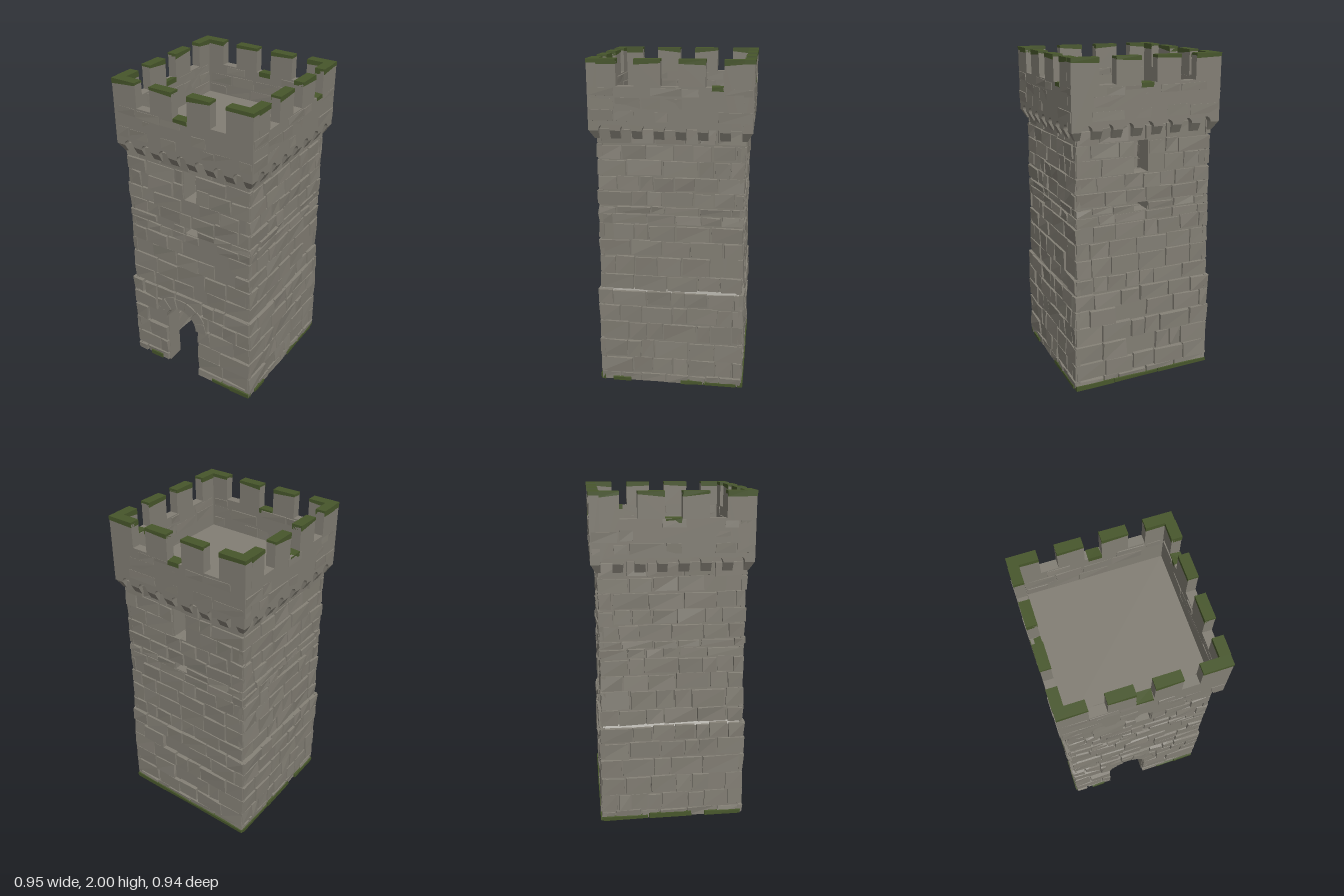
import * as THREE from 'three';
import { mergeGeometries } from 'three/addons/utils/BufferGeometryUtils.js';

let seed = 7;
const rand = () => (seed = (seed * 16807) % 2147483647) / 2147483647;
const vary = (a) => (rand() * 2 - 1) * a;

// Block with an uneven outer (+z) face
function block(x0, x1, y0, y1, z0, z1, edge = 0.004, relief = 0.006) {
  const g = new THREE.BoxGeometry(1, 1, 1).toNonIndexed();
  const jit = [0, 1, 2, 3].map(() => [rand() * edge, rand() * edge, vary(relief)]);
  const p = g.attributes.position;
  for (let i = 0; i < p.count; i++) {
    const r = p.getX(i) > 0, t = p.getY(i) > 0, f = p.getZ(i) > 0;
    const [a, b, c] = f ? jit[(r ? 1 : 0) + (t ? 2 : 0)] : [0, 0, 0];
    p.setXYZ(i, r ? x1 - a : x0 + a, t ? y1 - b : y0 + b, f ? z1 + c : z0);
  }
  g.computeVertexNormals();
  return g;
}

// Courses of irregular bricks; holes are [x0, x1, y0, y1]
function courses(rows, half, face, holes, skip = 0.06, relief = 0.006) {
  const out = [];
  for (let i = 0; i < rows.length - 1; i++) {
    const ya = rows[i], yb = rows[i + 1], mid = (ya + yb) / 2, h = half(mid);
    const cuts = holes.filter((o) => o[2] < yb - 0.01 && o[3] > ya + 0.01).sort((a, b) => a[0] - b[0]);
    let start = -h;
    for (const [c0, c1] of [...cuts, [h, h]]) {
      let x = start;
      while (x < c0 - 0.005) {
        let e = x + 0.08 + rand() * 0.13;
        if (e > c0 - 0.05) e = c0;
        const z = face(mid) + vary(0.003);
        if (rand() > skip) {
          const dy = vary(0.006);
          out.push(block(x + 0.002, e - 0.002, Math.max(0, ya + 0.002 + (i ? dy : 0)), yb - 0.002 + dy, z - 0.03, z, 0.007, relief));
        }
        x = e;
      }
      start = c1;
    }
  }
  return mergeGeometries(out);
}

const rectPath = (x0, x1, y0, y1) =>
  new THREE.Path([[x0, y0], [x1, y0], [x1, y1], [x0, y1]].map((p) => new THREE.Vector2(...p)));
const poly = (pts) => new THREE.Shape(pts.map((p) => new THREE.Vector2(...p)));

export function createModel() {
  const root = new THREE.Group();
  root.name = 'castleTower';
  const stone = new THREE.MeshStandardMaterial({ color: 0x827e74 });
  stone.name = 'stone';
  const moss = new THREE.MeshStandardMaterial({ color: 0x47562b });
  moss.name = 'moss';
  const add = (name, geo, mat = stone, rotY = 0, z = 0) => {
    const m = new THREE.Mesh(geo, mat);
    m.name = name;
    m.rotation.y = rotY;
    m.position.z = z;
    root.add(m);
    return m;
  };
  const extrude = (shape, depth) => new THREE.ExtrudeGeometry(shape, { depth, bevelEnabled: false, curveSegments: 8 });

  // Openings
  const windows = [[-0.022, 0.066, 1.1, 1.15], [-0.022, 0.066, 1.33, 1.52]];
  const DX = -0.067, DR = 0.123, DY = 0.385;
  const doorHoles = [[DX - DR, DX + DR, 0, 0.41], [DX - 0.118, DX + 0.118, 0.41, 0.5]];
  const niche = [-0.335, -0.285, 1.345, 1.4];
  const mirror = (hs) => hs.map(([a, b, c, d]) => [-b, -a, c, d]);

  // Wall cores, wider at the plinth
  const faceX = (y) => (y < 0.62 ? 0.455 : 0.443 - (y - 0.62) * 0.012);
  const faceZ = (y) => (y < 0.62 ? 0.44 : 0.43);
  const side = [[0.445, 0.61], [0.431, 0.63], [0.42, 1.63]];
  const flip = side.map(([x, y]) => [-x, y]).reverse();
  const front = new THREE.Shape();
  front.moveTo(0.445, 0);
  [...side, ...flip, [-0.445, 0], [DX - DR, 0], [DX - DR, DY]].forEach((p) => front.lineTo(...p));
  front.absarc(DX, DY, DR, Math.PI, 0, true);
  front.lineTo(DX + DR, 0);
  const back = poly([[0.445, 0], ...side, ...flip, [-0.445, 0]]);
  for (const s of [front, back]) windows.forEach((w) => s.holes.push(rectPath(...w)));
  add('frontWall', extrude(front, 0.108), stone, 0, 0.312);
  add('backWall', extrude(back, 0.108), stone, 0, -0.42);
  const sideShape = [[0.322, 0], [0.445, 0], ...side, [0.322, 1.63]];
  add('leftWall', extrude(poly(sideShape), 0.64), stone, 0, -0.32);
  add('rightWall', extrude(poly(sideShape), 0.64), stone, Math.PI, 0.32);

  // Brickwork outside and inside
  const rows = [0, 0.06, 0.17, 0.29, 0.41, 0.52, 0.62, 0.72, 0.84, 0.94, 1.04, 1.1, 1.15, 1.24, 1.33, 1.43, 1.52, 1.61];
  const H = Math.PI / 2;
  const frontHoles = [...doorHoles, ...windows];
  const faces = [
    ['front', 0, [...frontHoles, niche], frontHoles],
    ['left', H, [], []],
    ['back', 2 * H, mirror(windows), mirror(windows)],
    ['right', 3 * H, [], []],
  ];
  faces.forEach(([name, rot, outer, inner], i) => {
    const across = i % 2;
    add(name + 'Bricks', courses(rows, across ? faceZ : faceX, across ? faceX : faceZ, outer), stone, rot);
    const d = across ? -0.314 : -0.304;
    add(name + 'InnerBricks', courses(rows, () => 0.32, () => d, mirror(inner)), stone, rot + Math.PI);
  });

  // Arch stones over the doorway
  const count = 7, step = Math.PI / count;
  for (let i = 0; i < count; i++) {
    const a = i * step + 0.02, b = (i + 1) * step - 0.02, s = new THREE.Shape();
    const R = 0.2 + vary(0.008);
    s.absarc(DX, DY, DR - 0.003, a, b, false);
    s.absarc(DX, DY, R, b, a, true);
    add('archStone', extrude(s, 0.05), stone, 0, 0.398 + vary(0.003));
  }

  // Roof deck
  const deck = new THREE.BoxGeometry(0.83, 0.03, 0.83);
  deck.translate(0, 1.635, 0);
  add('roofDeck', deck);

  // Parapet: battlements above, small arches and corbels below
  const pitch = 0.125, gap = 0.033, top = 1.987;
  const notches = [[0.2, 0.3], [-0.05, 0.05], [-0.3, -0.2]];
  const merlons = [[0.3, 0.466], [0.05, 0.2], [-0.2, -0.05], [-0.466, -0.3]];
  const notchMoss = [[[-0.05, 0.05]], [[0.23, 0.3]], [[-0.05, 0.03]], [[-0.05, 0.05]]];
  const footMoss = [
    [[-0.34, -0.24], [0.17, 0.31], [0.31, 0.455]],
    [[-0.37, -0.25], [0.06, 0.2], [0.2, 0.41]],
    [[-0.455, -0.2], [-0.2, 0.1], [0.1, 0.455]],
    [[-0.43, -0.15], [-0.15, 0.12], [0.2, 0.43]],
  ];
  faces.forEach(([name, rot], i) => {
    const across = i % 2, end = across ? 0.41 : 0.465;
    const s = new THREE.Shape();
    s.moveTo(-end, 1.6);
    for (let k = -3; k <= 3; k++) {
      s.lineTo(k * pitch - gap, 1.6);
      s.absarc(k * pitch, 1.602, gap, Math.PI, 0, true);
    }
    s.lineTo(end, 1.6);
    s.lineTo(end, top);
    for (const [a, b] of notches) [[b, top], [b, 1.85], [a, 1.85], [a, top]].forEach((p) => s.lineTo(...p));
    s.lineTo(-end, top);
    add(name + 'Parapet', extrude(s, 0.056), stone, rot).translateZ(0.41);

    // Corbels taper back toward the wall
    const corbels = [];
    for (let k = -3; k < 3; k++) {
      const c = (k + 0.5) * pitch, w = pitch / 2 - gap;
      corbels.push(block(c - w, c + w, 1.55, 1.602, 0.41, 0.465, 0, 0));
    }
    // Corner corbel
    corbels.push(block(0.408, 0.465, 1.55, 1.602, 0.408, 0.465, 0, 0));
    for (const g of corbels) {
      const p = g.attributes.position;
      for (let v = 0; v < p.count; v++) {
        if (p.getY(v) > 1.56) continue;
        if (p.getZ(v) > 0.44) p.setZ(v, 0.436);
        if (p.getX(v) > 0.44) p.setX(v, 0.436);
      }
      g.computeVertexNormals();
    }
    add(name + 'Corbels', mergeGeometries(corbels), stone, rot);

    // Sparse raised stones on both parapet faces
    const pr = [1.65, 1.72, 1.79, 1.845];
    add(name + 'ParapetStones', courses(pr, () => 0.463, () => 0.468, [], 0.5, 0.003), stone, rot);
    add(name + 'ParapetInnerStones', courses(pr, () => 0.4, () => -0.407, [], 0.4, 0.003), stone, rot + Math.PI);

    // Moss on battlements, in gaps and along the foot
    const green = [];
    for (const [a, b] of merlons) {
      const lo = Math.max(a, across ? -0.41 : a), hi = Math.min(b, across ? 0.41 : b);
      const g = block(lo, hi, 1.97, 2, 0.408, 0.469, 0, 0.001);
      const p = g.attributes.position, l = 1.965 + rand() * 0.02, r = 1.965 + rand() * 0.02;
      for (let v = 0; v < p.count; v++) if (p.getY(v) < 1.99) p.setY(v, p.getX(v) < (lo + hi) / 2 ? l : r);
      g.computeVertexNormals();
      green.push(g);
    }
    notchMoss[i].forEach(([a, b]) => green.push(block(a, b, 1.825, 1.855, 0.409, 0.469, 0.008, 0.001)));
    const foot = across ? 0.461 : 0.446;
    footMoss[i].forEach(([a, b]) => green.push(block(a, b, 0, 0.022 + rand() * 0.015, foot - 0.03, foot, 0.006, 0.002)));
    add(name + 'Moss', mergeGeometries(green), moss, rot);
  });
  return root;
}
